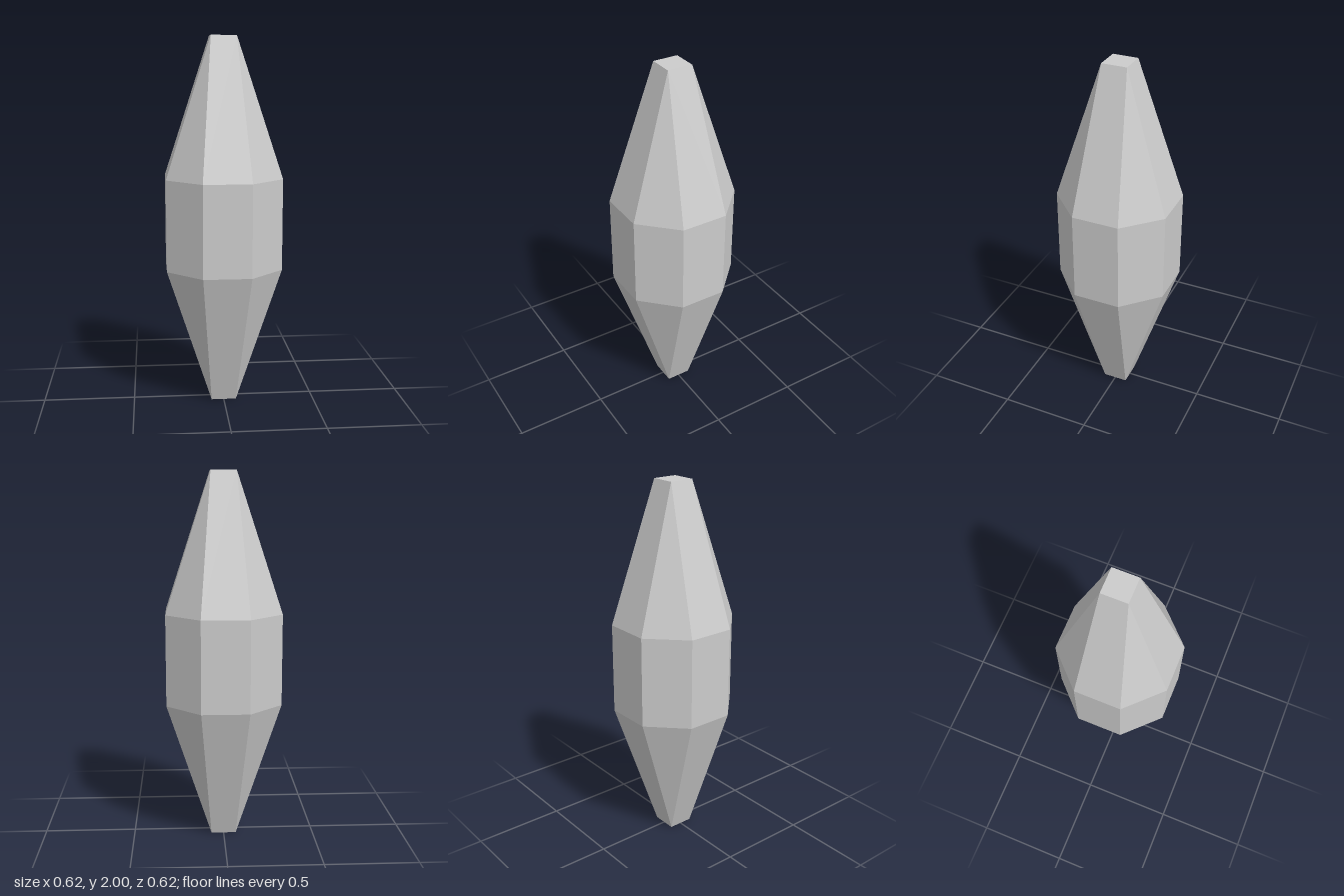
import * as THREE from 'three';
import { ConvexGeometry } from 'three/addons/geometries/ConvexGeometry.js';

const HEIGHT = 2, GIRDLE_LOW = 0.755, GIRDLE_HIGH = 1.25;
const TIP = 0.068;                 // half side of the square ends
const WIDE = 0.311, FACET = 0.128; // octagon half width and half side

// Mirror one corner into all four quadrants at height y
function corners(x, y, z) {
  const points = [];
  for (const sx of [-1, 1]) for (const sz of [-1, 1]) points.push(new THREE.Vector3(sx * x, y, sz * z));
  return points;
}

const square = (y) => corners(TIP, y, TIP);
const octagon = (y) => [...corners(WIDE, y, FACET), ...corners(FACET, y, WIDE)];

export function createModel() {
  const group = new THREE.Group();
  group.name = 'crystal';

  // Faceted shard: square ends widening to an octagonal girdle
  const shard = new THREE.Mesh(
    new ConvexGeometry([...square(0), ...octagon(GIRDLE_LOW), ...octagon(GIRDLE_HIGH), ...square(HEIGHT)]),
    new THREE.MeshStandardMaterial({ color: 0xcccccc, flatShading: true })
  );
  shard.name = 'crystalShard';
  group.add(shard);
  return group;
}
